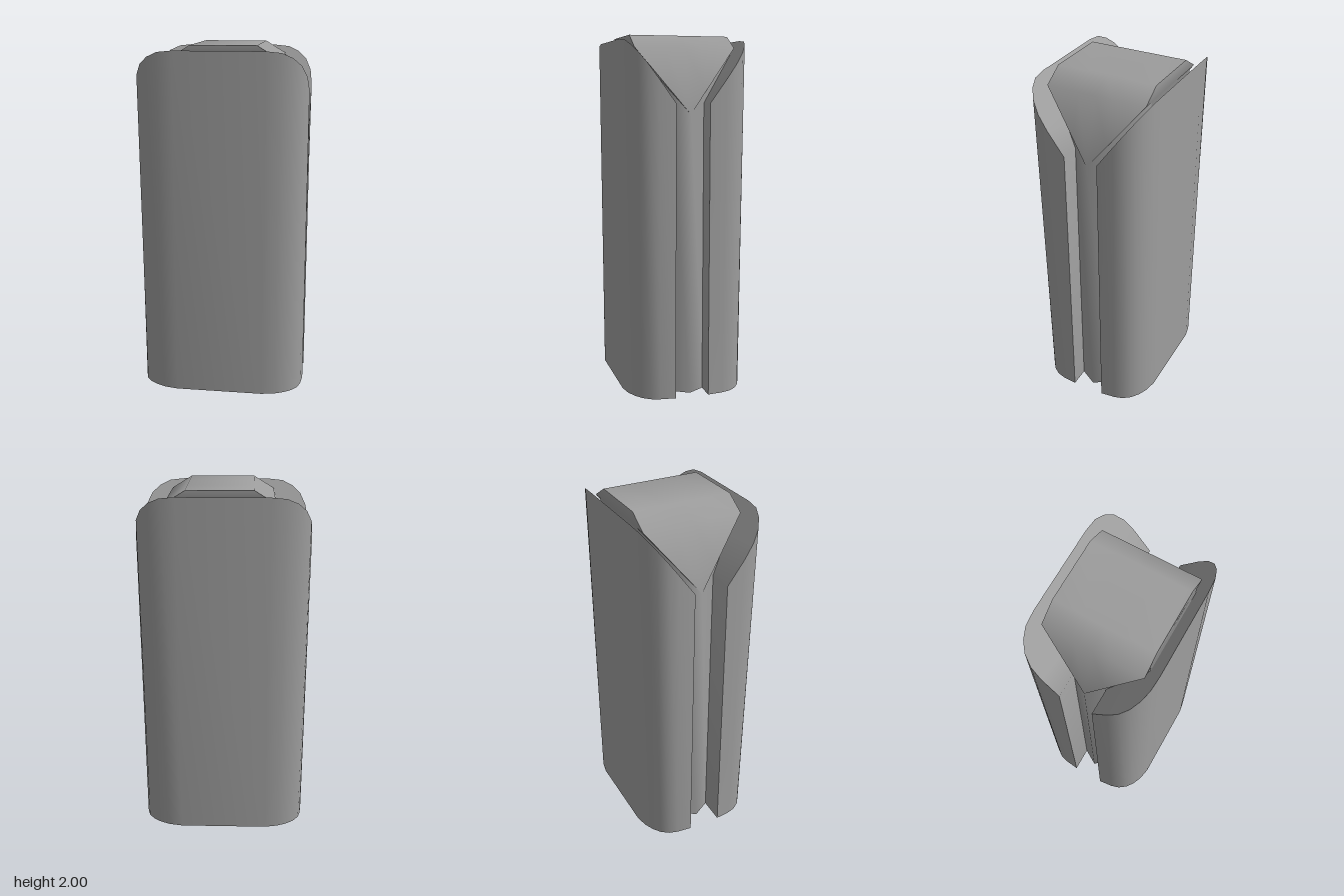
import * as THREE from 'three';
import { toCreasedNormals } from 'three/addons/utils/BufferGeometryUtils.js';

const material = new THREE.MeshStandardMaterial({ color: 0x9d9d9d });

// Half tower: rounded plan extruded upwards, its roof sloping down to the inside
function halfTowerGeometry() {
  const corner = [[0.48, 0.095], [0.48, 0.19], [0.47, 0.245], [0.44, 0.29], [0.395, 0.32], [0.335, 0.34], [0.25, 0.346]];
  const mirrored = corner.map(([x, z]) => [-x, z]).reverse();
  const shape = new THREE.Shape([...corner, ...mirrored].map(([x, z]) => new THREE.Vector2(x, z)));
  const geometry = new THREE.ExtrudeGeometry(shape, { depth: 1, bevelEnabled: false });
  geometry.rotateX(-Math.PI / 2);
  const p = geometry.attributes.position;
  for (let i = 0; i < p.count; i++) {
    const x = p.getX(i), z = p.getZ(i);
    if (p.getY(i) > 0.5) {
      p.setY(i, 1.974 - (0.346 + z) * 1.37);
    } else {
      // the outer corners are a little rounder at the foot
      const pull = 0.025 * ((Math.abs(x) - 0.25) / 0.23) * ((-z - 0.095) / 0.25);
      p.setX(i, x - Math.sign(x) * pull);
      p.setZ(i, z + pull);
    }
  }
  return toCreasedNormals(geometry, 0.7);
}

// Core: a pointed shaft carrying a wedge-shaped head, lofted along z
function coreGeometry() {
  const half = 0.285;
  const stations = [-half, -0.1, 0, 0.1, half];
  const positions = [], indices = [];
  for (const z of stations) {
    const t = Math.abs(z) / half;
    const lipX = 0.4075 - 0.11 * t, lipY = 1.57 + 0.36 * t;
    const shaftX = 0.4075 - 0.171 * t;
    const right = [
      [shaftX, 0],
      [shaftX, lipY], // underside of the head
      [lipX, lipY],
      [0.2975, 1.93], // shoulder
      [0.1825, 2],
    ];
    const left = right.map(([x, y]) => [-x, y]).reverse();
    for (const [x, y] of [...right, ...left]) positions.push(x, y, z);
  }
  const n = 10, last = (stations.length - 1) * n;
  const quad = (a, b, c, d) => indices.push(a, b, c, a, c, d);
  for (let j = 0; j < last; j += n) {
    for (let i = 0; i < n; i++) {
      const k = (i + 1) % n;
      quad(j + i, j + k, j + n + k, j + n + i);
    }
  }
  // end faces
  for (let i = 0; i < 4; i++) {
    quad(last + i, last + i + 1, last + 8 - i, last + 9 - i);
    quad(9 - i, 8 - i, i + 1, i);
  }
  const geometry = new THREE.BufferGeometry();
  geometry.setAttribute('position', new THREE.Float32BufferAttribute(positions, 3));
  geometry.setIndex(indices);
  return toCreasedNormals(geometry, 1.12);
}

export function createModel() {
  const group = new THREE.Group();
  group.name = 'tower';

  const halfGeometry = halfTowerGeometry();
  ['backHalf', 'frontHalf'].forEach((name, i) => {
    const mesh = new THREE.Mesh(halfGeometry, material);
    mesh.name = name;
    mesh.rotation.y = i * Math.PI;
    group.add(mesh);
  });

  const core = new THREE.Mesh(coreGeometry(), material);
  core.name = 'core';
  core.position.set(0.0175, 0, -0.004);
  group.add(core);
  return group;
}
